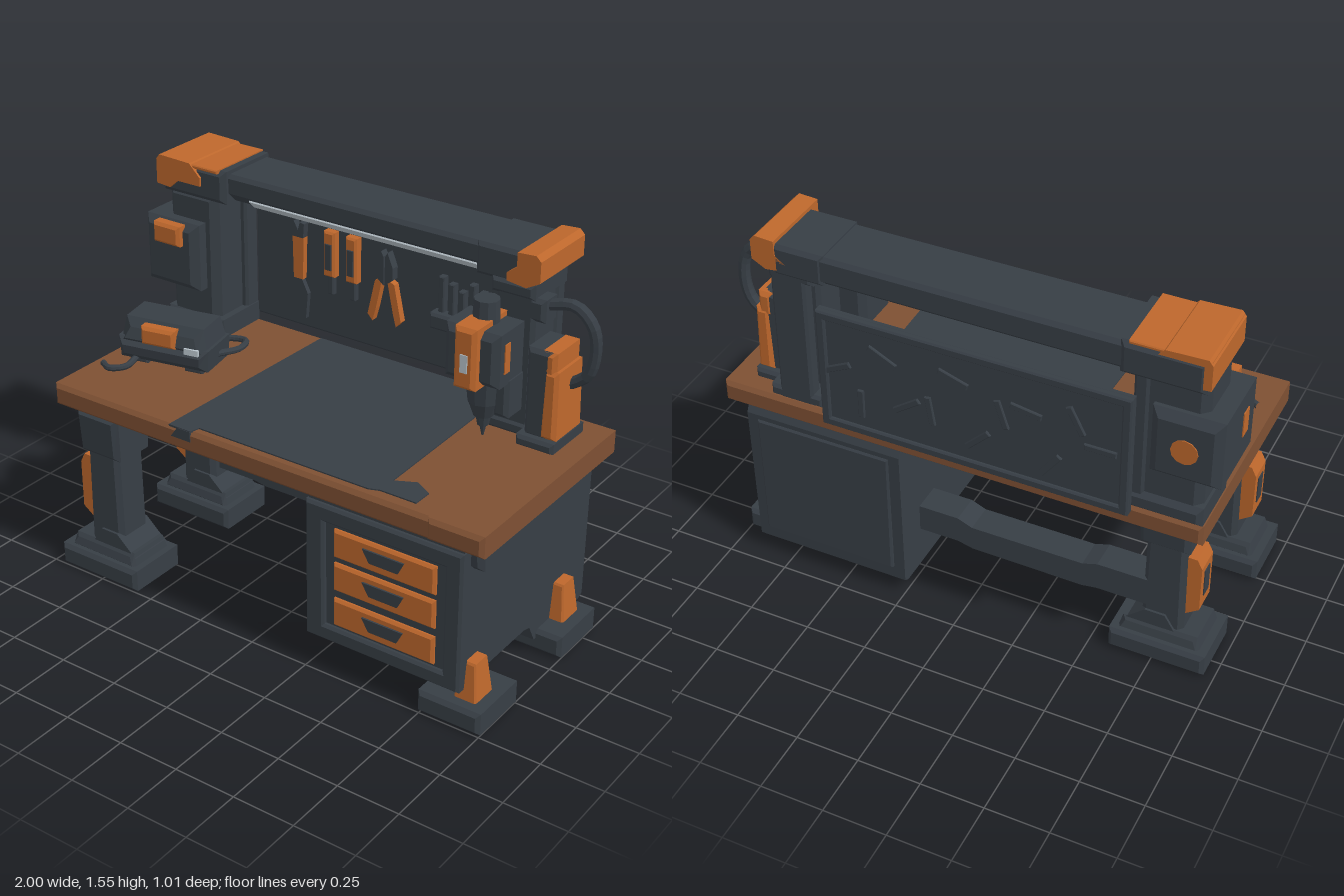
import * as THREE from 'three';

const mat = (name, color) => {
  const m = new THREE.MeshStandardMaterial({ color, flatShading: true });
  m.name = name;
  return m;
};

export function createModel() {
  const root = new THREE.Group();
  root.name = 'workbench';
  const dark = mat('slate metal', 0x373e45);
  const orange = mat('orange paint', 0xbd672c);
  const wood = mat('brown wood', 0x7e5033);
  const light = mat('pale grey', 0xb9c4cb);

  const add = (name, geo, m, parent = root) => {
    const mesh = new THREE.Mesh(geo, m);
    mesh.name = name;
    parent.add(mesh);
    return mesh;
  };
  const shapeOf = pts => new THREE.Shape(pts.map(p => new THREE.Vector2(...p)));

  // Chamfered box from its limits; top = [x, z] scale of the upper vertices
  const box = (name, m, x0, x1, y0, y1, z0, z1, b = 0.012, top = null, parent = root) => {
    const w = x1 - x0, h = y1 - y0, d = z1 - z0;
    b = Math.min(b, w * 0.3, h * 0.3, d * 0.3);
    const X = w / 2 - b, Y = h / 2 - b;
    const g = new THREE.ExtrudeGeometry(shapeOf([[-X, -Y], [X, -Y], [X, Y], [-X, Y]]), {
      depth: d - 2 * b, bevelEnabled: b > 0, bevelSize: b, bevelThickness: b, bevelSegments: 1,
    });
    g.translate(0, 0, -(d / 2 - b));
    if (top) {
      const p = g.attributes.position;
      for (let i = 0; i < p.count; i++) {
        if (p.getY(i) > 0) p.setXYZ(i, p.getX(i) * top[0], p.getY(i), p.getZ(i) * top[1]);
      }
      g.computeVertexNormals();
    }
    const mesh = add(name, g, m, parent);
    mesh.position.set((x0 + x1) / 2, (y0 + y1) / 2, (z0 + z1) / 2);
    return mesh;
  };
  // Outline in x,y pushed along z
  const plate = (name, m, pts, z0, z1) =>
    add(name, new THREE.ExtrudeGeometry(shapeOf(pts), { depth: z1 - z0, bevelEnabled: false }).translate(0, 0, z0), m);
  // Outline in z,y pushed along x
  const prism = (name, m, pts, x0, x1) =>
    add(name, new THREE.ExtrudeGeometry(shapeOf(pts.map(([z, y]) => [-z, y])), { depth: x1 - x0, bevelEnabled: false })
      .rotateY(Math.PI / 2).translate(x0, 0, 0), m);
  const tube = (name, m, pts, r) =>
    add(name, new THREE.TubeGeometry(new THREE.CatmullRomCurve3(pts.map(p => new THREE.Vector3(...p))), 20, r, 8), m);
  const cyl = (name, m, x, y0, y1, z, r0, r1, n = 10) => {
    const c = add(name, new THREE.CylinderGeometry(r1, r0, y1 - y0, n), m);
    c.position.set(x, (y0 + y1) / 2, z);
    return c;
  };

  // Tabletop with inlaid work mat
  box('tabletop', wood, -0.945, 0.985, 0.73, 0.82, -0.44, 0.495, 0.015);
  box('tabletopCorner', wood, 0.76, 0.987, 0.735, 0.821, 0.3, 0.505, 0.015);
  add('workMat', new THREE.ExtrudeGeometry(shapeOf([[-0.34, 0.42], [-0.37, -0.496], [-0.27, -0.496], [-0.26, -0.455],
    [0.49, -0.455], [0.53, -0.44], [0.68, -0.44], [0.68, -0.36], [0.61, -0.32], [0.53, -0.36], [0.51, 0.42]]),
  { depth: 0.008, bevelEnabled: false }).rotateX(-Math.PI / 2).translate(0, 0.817, 0), dark);
  plate('matLip', dark, [[-0.36, 0.78], [-0.27, 0.78], [-0.27, 0.822], [-0.33, 0.822]], 0.49, 0.498);

  // Drawer cabinet
  prism('cabinetBody', dark, [[0.465, 0.15], [0.465, 0.72], [-0.42, 0.73], [-0.435, 0.7], [-0.425, 0.08], [-0.4, 0.065],
    [-0.06, 0.065], [-0.02, 0.14], [0.02, 0.15]], 0.245, 0.895);
  box('cabinetBracket', dark, 0.205, 0.94, 0.62, 0.735, -0.1, 0.42, 0.02, [1, 1.03]);
  box('cabinetBackPanel', dark, 0.29, 0.85, 0.14, 0.68, -0.443, -0.42, 0.01);
  for (const [x0, x1, y0, y1] of [[0.24, 0.32, 0.14, 0.71], [0.83, 0.9, 0.14, 0.71], [0.24, 0.9, 0.64, 0.71], [0.24, 0.9, 0.14, 0.205]])
    box('cabinetFrame', dark, x0, x1, y0, y1, 0.42, 0.485, 0.01);
  for (const y of [0.275, 0.425, 0.565]) {
    box('drawer', orange, 0.36, 0.79, y - 0.058, y + 0.058, 0.45, 0.482, 0.012);
    plate('drawerHandle', dark, [[0.49, y + 0.03], [0.52, y - 0.02], [0.64, y - 0.02], [0.665, y + 0.03]], 0.48, 0.489);
  }
  box('cabinetFoot', dark, 0.29, 0.57, 0.008, 0.075, -0.34, -0.06, 0.02, [1.08, 1.05]);

  // Feet, braces and legs, front and back
  for (const z of [0.365, -0.21]) {
    box('rightFoot', dark, 0.74, 1, 0.01, 0.1, z - 0.138, z + 0.138, 0.015);
    const zb = z > 0 ? 0.39 : -0.23;
    box('rightFootBrace', orange, 0.86, 0.955, 0.09, 0.25, zb - 0.06, zb + 0.06, 0.008, [0.6, 0.7]);
    box('leftFoot', dark, -0.96, -0.575, 0.01, 0.1, z - 0.138, z + 0.138, 0.015);
    box('leftFootStep', dark, -0.93, -0.6, 0.09, 0.15, z - 0.11, z + 0.11, 0.015, [0.9, 0.9]);
    box('leg', dark, -0.85, -0.68, 0.1, 0.73, z - 0.08, z + 0.08, 0.02, [0.88, 1]);
    plate('legGusset', dark, [[-0.83, 0.13], [-0.61, 0.13], [-0.7, 0.21], [-0.78, 0.21]], z - 0.09, z + 0.09);
    box('legHead', dark, -0.86, -0.665, 0.54, 0.73, z - 0.1, z + 0.1, 0.02, [1.04, 1.1]);
    plate('legSidePlate', orange, [[-0.9, 0.26], [-0.83, 0.21], [-0.83, 0.5], [-0.88, 0.5], [-0.9, 0.46]], z - 0.055, z + 0.055);
    plate('legSidePlateInset', dark, [[-0.904, 0.31], [-0.895, 0.31], [-0.895, 0.43], [-0.904, 0.43]], z - 0.025, z + 0.025);
  }
  box('legCrossRail', dark, -0.8, -0.7, 0.56, 0.72, -0.21, 0.365);
  plate('stretcher', dark, [[-0.72, 0.23], [-0.5, 0.23], [-0.44, 0.22], [0.02, 0.225], [0.08, 0.24], [0.26, 0.24],
    [0.26, 0.355], [0.08, 0.355], [0.02, 0.33], [-0.44, 0.33], [-0.5, 0.35], [-0.72, 0.35]], -0.29, -0.17);

  // Overhead beam with lamp and end caps
  prism('overheadBeam', dark, [[-0.2, 1.45], [-0.2, 1.51], [-0.215, 1.525], [-0.445, 1.525], [-0.46, 1.51],
    [-0.46, 1.43], [-0.44, 1.41], [-0.24, 1.41]], -0.7, 0.7);
  prism('lampStrip', light, [[-0.202, 1.443], [-0.236, 1.41], [-0.232, 1.405], [-0.198, 1.438]], -0.52, 0.5);
  box('leftBeamSleeve', dark, -0.93, -0.62, 1.405, 1.54, -0.475, -0.17, 0.02);
  plate('leftCap', orange, [[-0.945, 1.435], [-0.88, 1.43], [-0.84, 1.465], [-0.73, 1.465], [-0.73, 1.5], [-0.78, 1.55],
    [-0.93, 1.555], [-0.945, 1.535]], -0.47, -0.16);
  box('leftCapTop', orange, -0.94, -0.65, 1.53, 1.545, -0.465, -0.165, 0.004);
  box('rightBeamSleeve', dark, 0.5, 0.7, 1.405, 1.53, -0.465, -0.19, 0.015);
  plate('rightCap', orange, [[0.65, 1.43], [0.73, 1.42], [0.785, 1.45], [0.785, 1.53], [0.765, 1.55], [0.69, 1.545],
    [0.69, 1.49], [0.65, 1.46]], -0.465, -0.155);

  // Left post and control box
  box('leftPost', dark, -0.93, -0.69, 0.82, 1.42, -0.43, -0.2, 0.03);
  box('leftPostRail', dark, -0.72, -0.665, 0.82, 1.42, -0.44, -0.36, 0.01);
  box('leftPostBase', dark, -0.94, -0.66, 0.82, 0.9, -0.45, -0.18, 0.02);
  box('controlBox', dark, -1, -0.74, 1.02, 1.3, -0.475, -0.13, 0.03);
  box('controlBoxTab', orange, -0.93, -0.8, 1.21, 1.295, -0.16, -0.1, 0.012);
  box('controlBoxLabel', orange, -1.004, -0.995, 1.12, 1.22, -0.27, -0.22, 0);
  cyl('controlBoxDial', orange, -0.87, 1.155, 1.165, -0.474, 0.05, 0.05, 12).rotation.x = Math.PI / 2;

  // Pegboard: front panel, back frame and back ribs
  box('pegboard', dark, -0.69, 0.515, 0.83, 1.335, -0.495, -0.46, 0.012);
  for (const y of [0.83, 1.3]) box('pegboardFrame', dark, -0.69, 0.515, y, y + 0.035, -0.508, -0.48, 0.006);
  for (const x of [-0.69, 0.48]) box('pegboardFrame', dark, x, x + 0.035, 0.83, 1.335, -0.508, -0.48, 0.006);
  for (let i = 0; i < 12; i++) {
    const r = box('pegboardRib', dark, -0.06, 0.06, -0.012, 0.012, -0.505, -0.49, 0.003);
    r.position.x = -0.58 + i * 0.093;
    r.position.y = 1.08 + 0.13 * Math.sin(i * 2.3);
    r.rotation.z = i * 1.1;
  }

  // Hanging tools
  const TZ = -0.465;
  plate('wrenchHandle', orange, [[-0.485, 1.05], [-0.44, 1.05], [-0.435, 1.24], [-0.49, 1.24]], TZ, -0.435);
  plate('wrenchHead', dark, [[-0.49, 1.23], [-0.435, 1.23], [-0.43, 1.29], [-0.45, 1.295], [-0.46, 1.26], [-0.48, 1.295], [-0.5, 1.28]], TZ, -0.43);
  plate('wrenchTail', dark, [[-0.475, 0.88], [-0.43, 0.88], [-0.42, 0.99], [-0.45, 1.05], [-0.49, 1.05], [-0.51, 0.98]], TZ, -0.44);
  for (const x of [-0.305, -0.2]) {
    box('screwdriverGrip', orange, x - 0.026, x + 0.026, 1.1, 1.29, TZ, -0.42, 0.008);
    box('screwdriverBand', dark, x - 0.015, x + 0.015, 1.13, 1.24, -0.425, -0.415, 0.002);
    box('screwdriverShaft', dark, x - 0.012, x + 0.012, 1.02, 1.11, TZ, -0.435, 0.004);
  }
  for (const s of [-1, 1]) {
    const px = x => -0.045 + s * x;
    plate('pliersHandle', orange, [[px(0.01), 1.16], [px(0.045), 1.14], [px(0.078), 0.99], [px(0.055), 0.965], [px(0.04), 1.02]], TZ, -0.43);
    plate('pliersJaw', dark, [[px(0.002), 1.13], [px(0.04), 1.16], [px(0.04), 1.21], [px(0.015), 1.27], [px(0.004), 1.25]], TZ, -0.425);
  }
  box('toolRack', dark, 0.18, 0.47, 1.02, 1.085, TZ, -0.4, 0.01);
  for (let i = 0; i < 5; i++)
    box('rackBit', dark, 0.2 + i * 0.045, 0.225 + i * 0.045, 1.08, 1.23 - 0.02 * (i % 3), TZ, -0.43, 0.004);

  // Bench tool case with cable
  const kit = new THREE.Group();
  kit.name = 'toolCase';
  kit.position.set(-0.7, 0, 0.06);
  kit.rotation.y = 0.2;
  root.add(kit);
  box('caseLower', dark, -0.19, 0.19, 0.84, 0.93, -0.115, 0.115, 0.03, [1.03, 1.03], kit);
  box('caseUpper', dark, -0.19, 0.19, 0.9, 1.01, -0.115, 0.115, 0.035, [0.88, 0.85], kit);
  box('caseLatch', orange, -0.08, 0.065, 0.925, 1, 0.07, 0.128, 0.012, null, kit);
  box('caseLabel', light, 0.105, 0.165, 0.915, 0.94, 0.11, 0.121, 0, null, kit);
  for (const x of [-0.12, 0.12]) box('caseFoot', dark, x - 0.04, x + 0.04, 0.818, 0.85, -0.08, 0.08, 0.008, null, kit);
  tube('caseCable', dark, [[-0.8, 0.85, 0.17], [-0.79, 0.84, 0.25], [-0.84, 0.835, 0.29], [-0.89, 0.835, 0.27]], 0.013);
  tube('caseCable', dark, [[-0.62, 0.85, -0.03], [-0.62, 0.85, -0.15], [-0.53, 0.86, -0.17], [-0.49, 0.87, -0.08], [-0.52, 0.88, 0.02]], 0.013);

  // Right post
  box('rightPost', dark, 0.59, 0.75, 0.82, 1.42, -0.35, -0.19, 0.015);
  box('rightPostRail', dark, 0.6, 0.74, 0.82, 1.42, -0.43, -0.37, 0.01);
  box('rightPostBase', dark, 0.56, 0.78, 0.82, 0.87, -0.43, -0.18, 0.012);
  box('rightPostCollar', dark, 0.57, 0.75, 1.36, 1.42, -0.43, -0.18, 0.015);

  // Drill head
  box('drillHead', dark, 0.49, 0.715, 1.07, 1.28, -0.21, -0.005, 0.025);
  box('drillFace', orange, 0.555, 0.645, 1.06, 1.3, -0.1, 0.032, 0.015);
  box('drillTopPlate', orange, 0.56, 0.64, 1.27, 1.3, -0.22, 0.02, 0.008);
  box('drillWindow', light, 0.587, 0.617, 1.13, 1.2, 0.028, 0.036, 0);
  box('drillSideStripe', orange, 0.711, 0.719, 1.12, 1.235, -0.09, -0.055, 0);
  cyl('drillMotor', dark, 0.6, 1.27, 1.365, -0.115, 0.052, 0.048);
  for (const [y0, y1, r0, r1] of [[0.97, 1.08, 0.062, 0.075], [0.91, 0.97, 0.038, 0.06], [0.87, 0.91, 0.022, 0.03], [0.825, 0.87, 0.004, 0.014]])
    cyl('drillChuck', dark, 0.61, y0, y1, -0.105, r0, r1);
  box('drillSideArm', dark, 0.66, 0.72, 0.93, 1.08, -0.2, -0.08, 0.015);

  // Orange canister and hose
  box('canisterBase', dark, 0.735, 0.89, 0.815, 0.86, -0.36, -0.12, 0.012);
  box('canisterCore', dark, 0.75, 0.85, 0.85, 1.2, -0.33, -0.15, 0.015);
  box('canisterShell', orange, 0.82, 0.885, 0.86, 1.13, -0.345, -0.14, 0.015, [0.85, 0.95]);
  box('canisterShellTop', orange, 0.81, 0.868, 1.1, 1.2, -0.335, -0.15, 0.015);
  tube('hose', dark, [[0.7, 1.32, -0.22], [0.78, 1.34, -0.24], [0.88, 1.355, -0.25], [0.95, 1.3, -0.25], [0.965, 1.2, -0.26],
    [0.94, 1.1, -0.26], [0.86, 1.04, -0.26]], 0.023);
  box('hoseSocket', dark, 0.69, 0.79, 1.28, 1.37, -0.29, -0.19, 0.015);

  return root;
}
